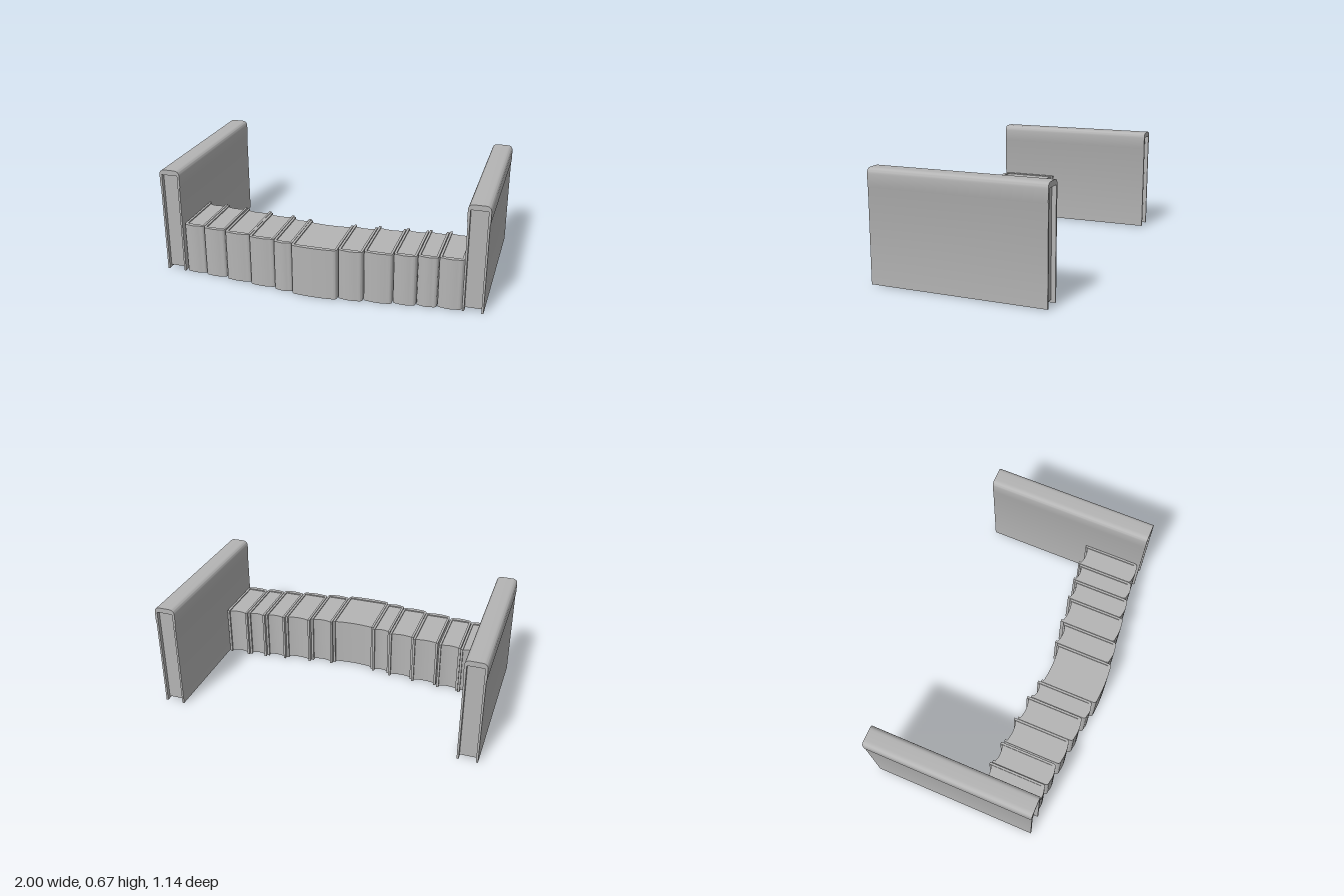
import * as THREE from 'three';
import { toCreasedNormals } from 'three/addons/utils/BufferGeometryUtils.js';

const stone = new THREE.MeshStandardMaterial({ color: 0xb4b4b4 });
stone.name = 'plain grey';

function extrude(shape, depth) {
  const geometry = new THREE.ExtrudeGeometry(shape, { depth, bevelEnabled: false, curveSegments: 8 });
  return toCreasedNormals(geometry, 0.6);
}

// Stands a plan outline (x, -z) upright between two heights
function upright(name, shape, y0, y1) {
  const mesh = new THREE.Mesh(extrude(shape, y1 - y0).rotateX(-Math.PI / 2), stone);
  mesh.position.y = y0;
  mesh.name = name;
  return mesh;
}

// Book: wrap-around cover with a rounded spine in front, hollowed page edges behind
function createBook(x0, x1, back, front) {
  const book = new THREE.Group();
  book.name = 'book';
  const height = 0.32, t = 0.014, r = 0.028, bulge = 0.006;
  const mid = (x0 + x1) / 2;
  const b = -back, f = -front;

  const cover = new THREE.Shape();
  cover.moveTo(x0, b);
  cover.lineTo(x0, f + r);
  cover.quadraticCurveTo(x0, f + bulge, x0 + r, f + bulge);
  cover.quadraticCurveTo(mid, f - bulge, x1 - r, f + bulge);
  cover.quadraticCurveTo(x1, f + bulge, x1, f + r);
  cover.lineTo(x1, b);
  cover.lineTo(x1 - t, b);
  cover.lineTo(x1 - t, f + r);
  cover.lineTo(x0 + t, f + r);
  cover.lineTo(x0 + t, b);
  cover.closePath();
  book.add(upright('bookCover', cover, 0, height));

  const pages = new THREE.Shape();
  pages.moveTo(x0 + t, f + r);
  pages.lineTo(x1 - t, f + r);
  pages.lineTo(x1 - t, b - 0.012);
  pages.quadraticCurveTo(mid, b - 0.034, x0 + t, b - 0.012);
  pages.closePath();
  book.add(upright('bookPages', pages, 0.007, height - 0.007));
  return book;
}

// Bookend: slab with a rounded cap, open ends and an inset core
function createBookend(side) {
  const bookend = new THREE.Group();
  bookend.name = side > 0 ? 'leftBookend' : 'rightBookend';
  const zBack = -0.572, zFront = 0.487, length = zFront - zBack;
  const half = 0.065, plate = half - 0.003, inner = 0.05;
  const top = 0.672, ledge = 0.565, r = 0.035;

  const shell = new THREE.Shape();
  shell.moveTo(-plate, 0.005);
  shell.lineTo(-inner, 0.005);
  shell.lineTo(-inner, 0.64);
  shell.lineTo(inner, 0.64);
  shell.lineTo(inner, 0.005);
  shell.lineTo(plate, 0.005);
  shell.lineTo(plate, ledge - 0.004);
  shell.lineTo(half, ledge + 0.004);
  shell.lineTo(half, top - r);
  shell.quadraticCurveTo(half, top, half - r, top);
  shell.lineTo(-half + r, top);
  shell.quadraticCurveTo(-half, top, -half, top - r);
  shell.lineTo(-half, ledge + 0.004);
  shell.lineTo(-plate, ledge - 0.004);
  shell.closePath();
  const shellMesh = new THREE.Mesh(extrude(shell, length), stone);
  shellMesh.position.z = zBack;
  shellMesh.name = 'bookendShell';

  const core = new THREE.Mesh(new THREE.BoxGeometry(inner * 2, 0.62, length - 0.05), stone);
  core.position.set(0, 0.33, (zBack + zFront) / 2);
  core.name = 'bookendCore';

  bookend.add(shellMesh, core);
  bookend.position.x = side * (1 - half);
  return bookend;
}

export function createModel() {
  const model = new THREE.Group();
  model.name = 'booksBetweenBookends';
  model.add(createBookend(1), createBookend(-1));

  // Left edge, right edge, back and front of each book
  const books = [
    [-0.868, -0.737, 0.105, 0.48], [-0.734, -0.595, 0.117, 0.493], [-0.585, -0.422, 0.133, 0.51],
    [-0.42, -0.26, 0.152, 0.53], [-0.257, -0.14, 0.175, 0.55], [-0.138, 0.14, 0.193, 0.572],
    [0.143, 0.29, 0.175, 0.55], [0.293, 0.463, 0.152, 0.53], [0.466, 0.6, 0.133, 0.51],
    [0.603, 0.722, 0.117, 0.493], [0.725, 0.868, 0.105, 0.48],
  ];
  for (const b of books) model.add(createBook(...b));
  return model;
}
